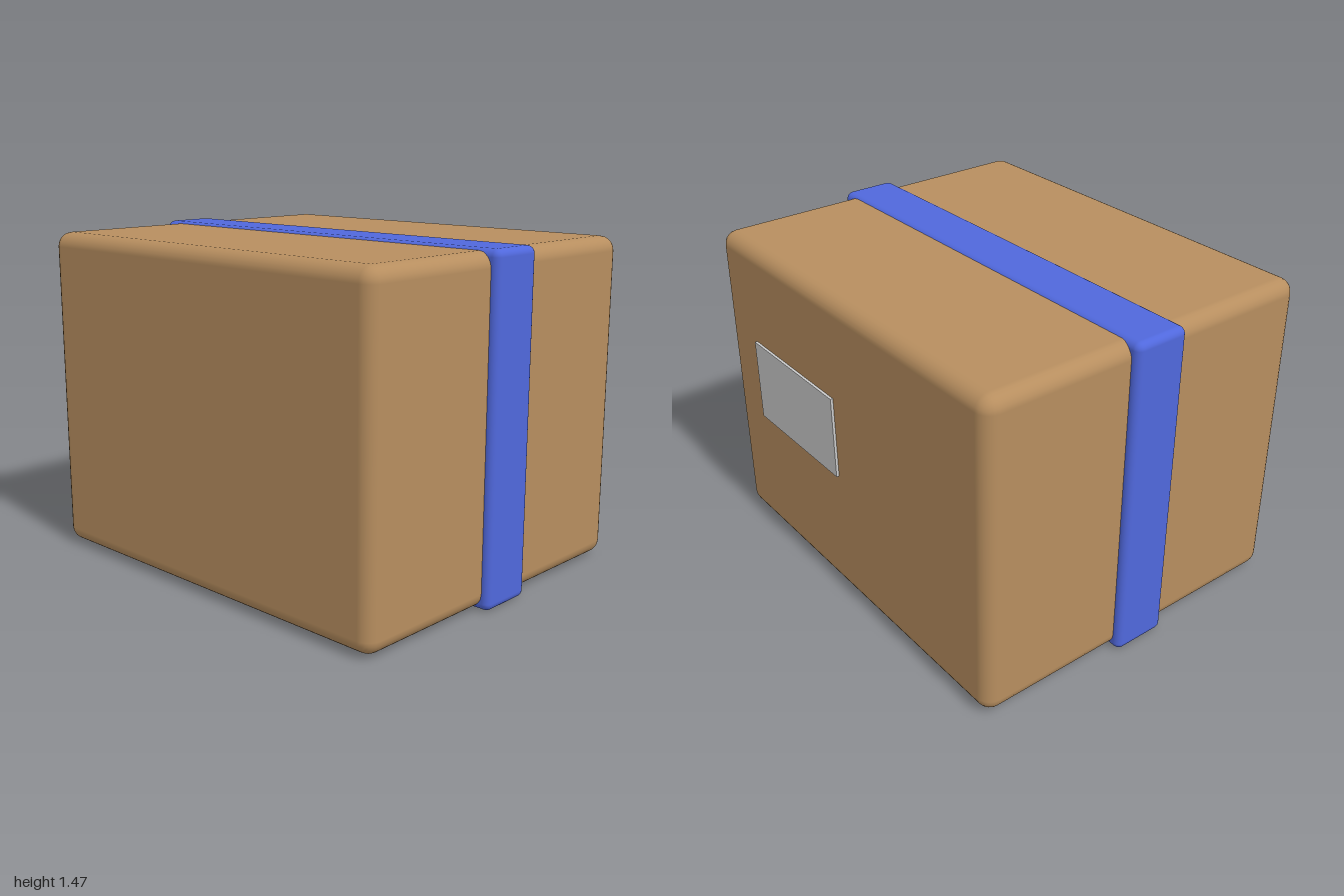
import * as THREE from 'three';
import { RoundedBoxGeometry } from 'three/addons/geometries/RoundedBoxGeometry.js';

export function createModel() {
  const group = new THREE.Group();

  const add = (name, geometry, color, x, y, z) => {
    const mesh = new THREE.Mesh(geometry, new THREE.MeshStandardMaterial({ color }));
    mesh.name = name;
    mesh.position.set(x, y, z);
    group.add(mesh);
  };

  // Cardboard body with softened edges
  add('cardboardBox', new RoundedBoxGeometry(1.93, 1.45, 1.61, 3, 0.064), 0xb78e5f, 0, 0.735, 0.006);

  // Band wrapped around the middle, slightly proud of the body
  add('tapeBand', new RoundedBoxGeometry(2, 1.47, 0.257, 3, 0.032), 0x5068dc, 0, 0.735, 0.006);

  // Thin shipping label on the back face
  add('label', new THREE.BoxGeometry(0.645, 0.385, 0.024), 0xcccccc, 0.385, 0.813, -0.799);

  return group;
}
